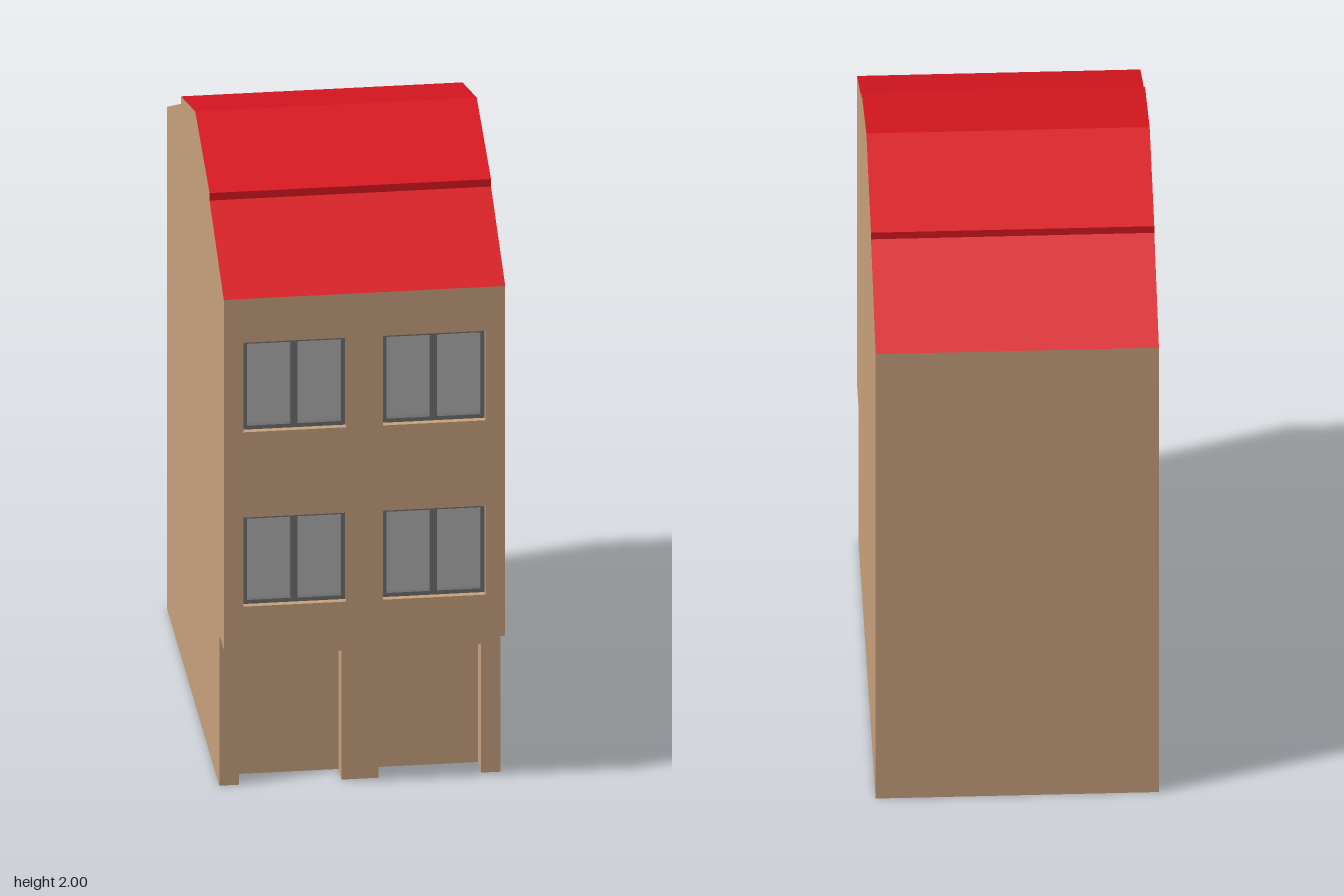
import * as THREE from 'three';

const HALF = 0.436, DEEP = 0.728, BASE = 0.613; // half width, half depth, ground floor front
const LEDGE = 0.51, EAVE = 1.69;
const BAYS = [[-0.375, -0.057], [0.057, 0.375]];
const FLOORS = [[0.652, 0.952], [1.24, 1.542]];

const mat = (color) => new THREE.MeshStandardMaterial({ color, side: THREE.DoubleSide, flatShading: true });

function addMesh(parent, name, geometry, material) {
  const mesh = new THREE.Mesh(geometry, material);
  mesh.name = name;
  parent.add(mesh);
  return mesh;
}

// Flat four-cornered faces, each with corners anticlockwise from its visible side
function quads(list) {
  const pos = list.flatMap(([a, b, c, d]) => [a, b, c, a, c, d].flat());
  const g = new THREE.BufferGeometry();
  g.setAttribute('position', new THREE.Float32BufferAttribute(pos, 3));
  g.computeVertexNormals();
  return g;
}

const polygon = (pts) => new THREE.Shape(pts.map(([x, y]) => new THREE.Vector2(x, y)));
const rect = (x0, x1, y0, y1) => [[x0, y0], [x1, y0], [x1, y1], [x0, y1]];

// Inward-facing sides of an opening between two depths; outline runs anticlockwise
function reveal(outline, zFront, zBack, closed) {
  const n = outline.length - (closed ? 0 : 1);
  return quads(Array.from({ length: n }, (_, i) => {
    const [a, b] = [outline[i], outline[(i + 1) % outline.length]];
    return [[...a, zFront], [...b, zFront], [...b, zBack], [...a, zBack]];
  }));
}

function makeWindow(x0, x1, y0, y1, frameMat, glassMat, wallMat) {
  const w = new THREE.Group();
  w.name = 'window';
  const t = 0.013, mid = (x0 + x1) / 2;
  const front = DEEP - 0.02, back = DEEP - 0.045;
  addMesh(w, 'windowReveal', reveal(rect(x0, x1, y0, y1), DEEP, front, true), wallMat);
  const frame = polygon(rect(x0, x1, y0, y1));
  frame.holes.push(polygon(rect(x0 + t, mid - 0.011, y0 + t, y1 - t)));
  frame.holes.push(polygon(rect(mid + 0.011, x1 - t, y0 + t, y1 - t)));
  const frameGeo = new THREE.ExtrudeGeometry(frame, { depth: front - back, bevelEnabled: false });
  addMesh(w, 'windowFrame', frameGeo, frameMat).position.z = back;
  const glass = new THREE.PlaneGeometry(x1 - x0 - 0.01, y1 - y0 - 0.01);
  addMesh(w, 'windowGlass', glass, glassMat).position.set(mid, (y0 + y1) / 2, back + 0.005);
  return w;
}

export function createModel() {
  const house = new THREE.Group();
  house.name = 'house';
  const wall = mat(0xc9a27e), red = mat(0xdb1720), grey = mat(0x6e6e6e), pane = mat(0xb0b0b0);

  // Stepped gable outline as [z, y], from the front eave to the back eave
  const slope = [[DEEP, EAVE], [0.365, 1.863], [0.365, 1.888], [0, 2]];
  const roofLine = [...slope, ...slope.slice(0, 3).reverse().map(([z, y]) => [-z, y])];

  // Gable side walls, with the upper floors overhanging the ground floor
  const outline = [[-DEEP, 0], [BASE, 0], [BASE, LEDGE], [DEEP, LEDGE], ...roofLine];
  for (const side of [1, -1]) {
    const shape = polygon(outline.map(([z, y]) => [-side * z, y]));
    const m = addMesh(house, side > 0 ? 'leftWall' : 'rightWall', new THREE.ShapeGeometry(shape), wall);
    m.rotation.y = side * Math.PI / 2;
    m.position.x = side * HALF;
  }

  // Back wall and the underside of the overhang
  addMesh(house, 'backWall', quads([
    [[HALF, 0, -DEEP], [-HALF, 0, -DEEP], [-HALF, EAVE, -DEEP], [HALF, EAVE, -DEEP]],
  ]), wall);
  addMesh(house, 'overhangUnderside', quads([
    [[-HALF, LEDGE, BASE], [HALF, LEDGE, BASE], [HALF, LEDGE, DEEP], [-HALF, LEDGE, DEEP]],
  ]), wall);

  // Roof panels with the small step halfway up each slope
  addMesh(house, 'roof', quads(roofLine.slice(1).map(([z, y], i) => {
    const [pz, py] = roofLine[i];
    return [[-HALF, py, pz], [HALF, py, pz], [HALF, y, z], [-HALF, y, z]];
  })), red);

  // Upper front wall with its four windows
  const upper = polygon(rect(-HALF, HALF, LEDGE, EAVE));
  for (const [x0, x1] of BAYS) for (const [y0, y1] of FLOORS) {
    upper.holes.push(polygon(rect(x0, x1, y0, y1)));
    house.add(makeWindow(x0, x1, y0, y1, grey, pane, wall));
  }
  addMesh(house, 'upperFrontWall', new THREE.ShapeGeometry(upper), wall).position.z = DEEP;

  // Ground floor front: pillars and lintel around two recessed doorways
  const top = 0.435, recess = BASE - 0.08;
  const lower = [[-HALF, 0]];
  for (const [x0, x1] of BAYS) {
    lower.push([x0, 0], [x0, top], [x1, top], [x1, 0]);
    const opening = [[x1, 0], [x1, top], [x0, top], [x0, 0]];
    addMesh(house, 'doorwayReveal', reveal(opening, BASE, recess, false), wall);
    const door = new THREE.PlaneGeometry(x1 - x0, top);
    addMesh(house, 'doorPanel', door, wall).position.set((x0 + x1) / 2, top / 2, recess);
  }
  lower.push([HALF, 0], [HALF, LEDGE], [-HALF, LEDGE]);
  addMesh(house, 'lowerFrontWall', new THREE.ShapeGeometry(polygon(lower)), wall).position.z = BASE;

  return house;
}
